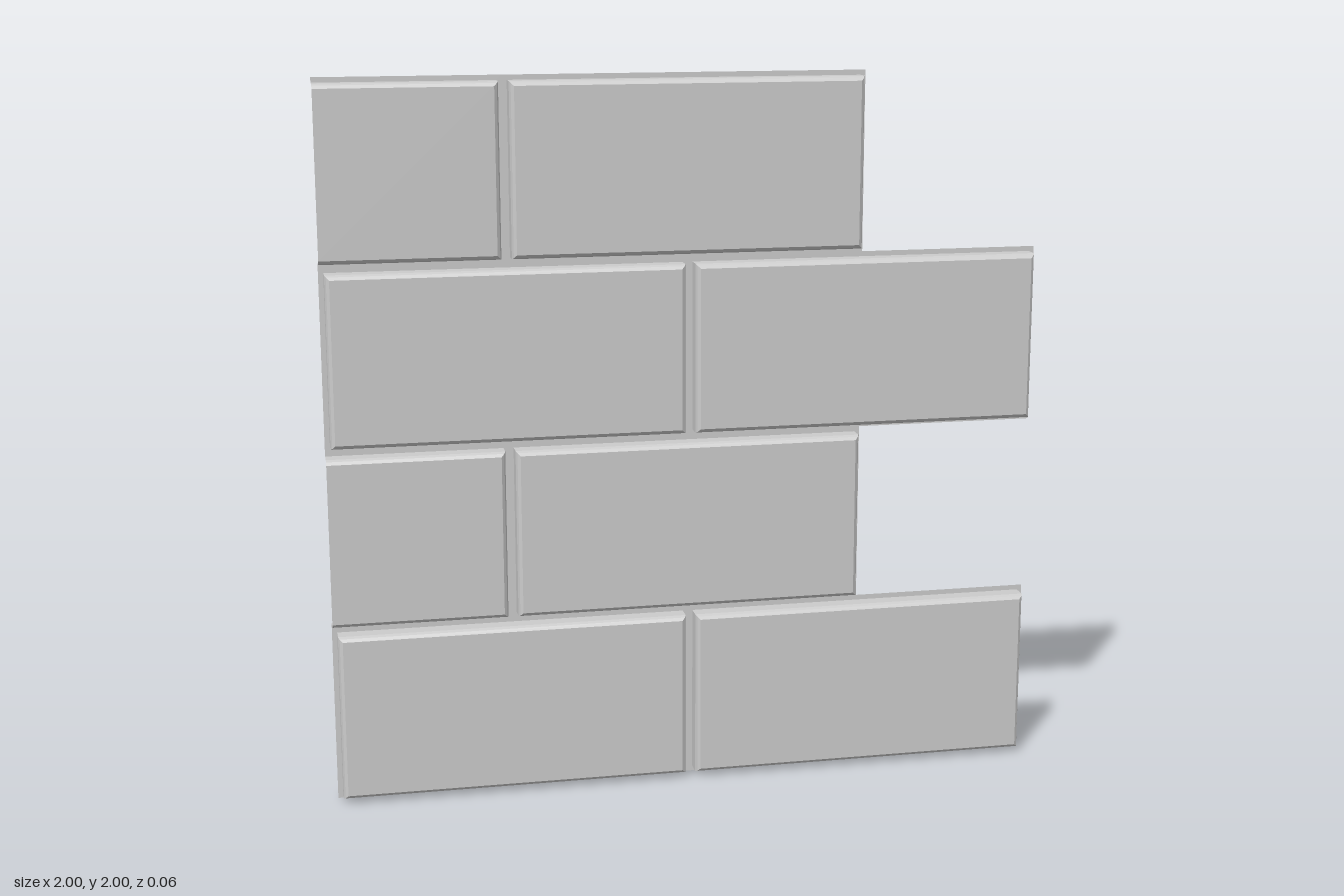
import * as THREE from 'three';

const material = new THREE.MeshStandardMaterial({ color: 0xcccccc, flatShading: true, side: THREE.DoubleSide });

// Edge section as [inset, z]: joint flange, side wall, eased edge, face
const SECTION = [[0, -0.029], [0.014, -0.029], [0.014, 0.013], [0.018, 0.023], [0.026, 0.029]];

// Open-backed tile shell; a cut tile has no wall on its -x side
function tileGeometry(x0, x1, y0, y1, cut) {
  const rings = SECTION.map(([d, z]) => {
    const left = cut ? x0 : x0 + d;
    return [[left, y0 + d, z], [x1 - d, y0 + d, z], [x1 - d, y1 - d, z], [left, y1 - d, z]];
  });
  const positions = [];
  const quad = (a, b, c, d) => positions.push(...a, ...b, ...c, ...a, ...c, ...d);
  for (let r = 0; r < rings.length - 1; r++) {
    for (let i = 0; i < 4; i++) {
      if (cut && i === 3) continue;
      const j = (i + 1) % 4;
      quad(rings[r][i], rings[r][j], rings[r + 1][j], rings[r + 1][i]);
    }
  }
  quad(...rings[rings.length - 1]);
  const geometry = new THREE.BufferGeometry();
  geometry.setAttribute('position', new THREE.Float32BufferAttribute(positions, 3));
  geometry.computeVertexNormals();
  return geometry;
}

export function createModel() {
  const model = new THREE.Group();
  model.name = 'tilePanel';
  const rowHeight = 0.5;

  // Four courses in running bond, every second one starting with a half tile
  for (let row = 0; row < 4; row++) {
    const offset = row % 2 === 1;
    const joints = offset ? [-1, -0.502, 0.497] : [-1, 0, 1];
    const course = new THREE.Group();
    course.name = `course${row + 1}`;
    for (let i = 0; i < 2; i++) {
      const cut = offset && i === 0;
      const geometry = tileGeometry(joints[i], joints[i + 1], row * rowHeight, (row + 1) * rowHeight, cut);
      const tile = new THREE.Mesh(geometry, material);
      tile.name = cut ? 'halfTile' : 'fullTile';
      course.add(tile);
    }
    model.add(course);
  }
  return model;
}
